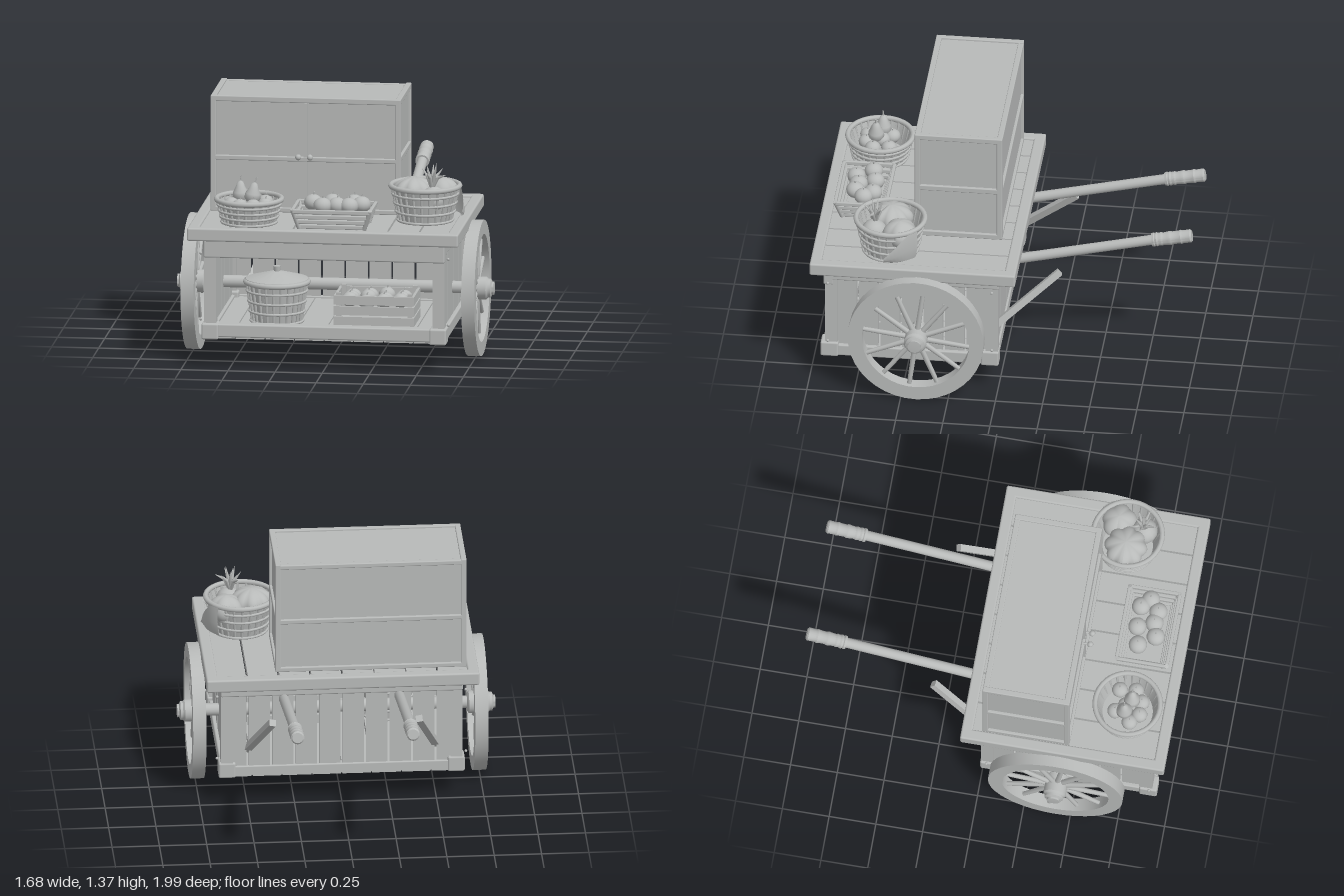
import * as THREE from 'three';
import { toCreasedNormals } from 'three/addons/utils/BufferGeometryUtils.js';
import { RoundedBoxGeometry } from 'three/addons/geometries/RoundedBoxGeometry.js';

const grey = new THREE.MeshStandardMaterial({ color: 0xb8bab9, side: THREE.DoubleSide });
grey.name = 'plain grey';

const V = (x, y, z) => new THREE.Vector3(x, y, z);

function add(parent, name, geo, x = 0, y = 0, z = 0) {
  const m = new THREE.Mesh(geo, grey);
  m.name = name;
  m.position.set(x, y, z);
  parent.add(m);
  return m;
}
function group(parent, name, x = 0, y = 0, z = 0) {
  const g = new THREE.Group();
  g.name = name;
  g.position.set(x, y, z);
  parent.add(g);
  return g;
}
// box given by its limits, with an optional rounded edge
function box(parent, name, x0, x1, y0, y1, z0, z1, r = 0) {
  const s = [x1 - x0, y1 - y0, z1 - z0];
  const geo = r ? new RoundedBoxGeometry(...s, 2, r) : new THREE.BoxGeometry(...s);
  return add(parent, name, geo, (x0 + x1) / 2, (y0 + y1) / 2, (z0 + z1) / 2);
}
function lathe(points, seg = 24) {
  return toCreasedNormals(new THREE.LatheGeometry(points.map(p => new THREE.Vector2(...p)), seg), 0.6);
}
// place a part built along y so that it runs from a to b
function along(mesh, a, b) {
  mesh.position.copy(a).lerp(b, 0.5);
  mesh.quaternion.setFromUnitVectors(V(0, 1, 0), b.clone().sub(a).normalize());
  return mesh;
}
function rod(parent, name, a, b, r0, r1 = r0, seg = 10) {
  return along(add(parent, name, new THREE.CylinderGeometry(r1, r0, a.distanceTo(b), seg)), a, b);
}

// round woven basket standing at local y = 0
function basket(parent, name, x, y, z, rBottom, rTop, h) {
  const g = group(parent, name, x, y, z);
  add(g, 'basketWall', lathe([[0, 0.008], [rBottom - 0.012, 0.008], [rTop - 0.02, h - 0.01]], 32));
  const at = t => rBottom + (rTop - 0.012 - rBottom) * t;
  for (let i = 0; i < 24; i++) {
    const a = i / 24 * Math.PI * 2, c = Math.cos(a), s = Math.sin(a);
    rod(g, 'basketStake', V(c * (rBottom - 0.007), 0, s * (rBottom - 0.007)), V(c * (rTop - 0.017), h, s * (rTop - 0.017)), 0.007, 0.008, 5);
  }
  for (const t of [0.04, 0.28, 0.52, 0.76, 0.97]) {
    const thick = t > 0.9 ? 0.014 : 0.007;
    add(g, 'basketHoop', new THREE.TorusGeometry(at(t), thick, 8, 36), 0, h * t, 0).rotation.x = Math.PI / 2;
  }
  return g;
}
function fruit(parent, x, y, z, r) {
  const geo = new THREE.SphereGeometry(r, 16, 12);
  geo.scale(1, 0.88, 1);
  add(parent, 'fruit', geo, x, y, z);
  rod(parent, 'fruitStem', V(x, y + r * 0.75, z), V(x + 0.006, y + r * 1.15, z), 0.004, 0.003, 5);
}

function wheel(parent, side) {
  const g = group(parent, 'wheel', side * 0.745, 0.36, 0.42);
  g.rotation.z = -side * Math.PI / 2;
  add(g, 'wheelRim', lathe([[0.285, -0.035], [0.36, -0.035], [0.36, 0.035], [0.285, 0.035], [0.285, -0.035]], 40));
  for (let i = 0; i < 12; i++) {
    const a = i / 12 * Math.PI * 2 + 0.13;
    rod(g, 'spoke', V(Math.cos(a) * 0.03, 0, Math.sin(a) * 0.03), V(Math.cos(a) * 0.295, 0, Math.sin(a) * 0.295), 0.015, 0.012, 8);
  }
  add(g, 'hub', lathe([[0, -0.055], [0.045, -0.055], [0.06, -0.045], [0.06, 0.055], [0.05, 0.065],
    [0.05, 0.078], [0.035, 0.085], [0.035, 0.095], [0, 0.097]], 24));
}

function cabinet(parent) {
  const g = group(parent, 'cabinet');
  const x0 = -0.66, x1 = 0.35, y0 = 0.75, y1 = 1.37, z0 = 0.01, z1 = 0.475, t = 0.03;
  box(g, 'cabinetPanels', x0 + 0.014, x1 - 0.014, y0, y1 - 0.01, z0 + 0.014, z1 - 0.014);
  for (const x of [x0, x1 - t]) {
    for (const z of [z0, z1 - t]) box(g, 'cabinetPost', x, x + t, y0, y1, z, z + t, 0.005);
    for (const y of [y0, 1.03, y1 - t]) box(g, 'cabinetSideRail', x, x + t, y, y + t, z0 + t / 2, z1 - t / 2, 0.005);
  }
  for (const z of [z0, z1 - t])
    for (const y of [y0, 1.025, y1 - t]) box(g, 'cabinetRail', x0 + t / 2, x1 - t / 2, y, y + t - 0.005, z, z + t, 0.005);
  box(g, 'cabinetTopEdge', x0, x1, y1 - 0.025, y1, z1 - t, z1, 0.005);
  box(g, 'doorDivider', -0.165, -0.147, y0, y1 - t, z1 - t, z1 - 0.002);
  for (const x of [-0.19, -0.128]) {
    rod(g, 'knobStem', V(x, 1.055, 0.45), V(x, 1.055, 0.5), 0.006);
    add(g, 'doorKnob', new THREE.SphereGeometry(0.016, 14, 10), x, 1.055, 0.505);
  }
}

function body(parent) {
  const g = group(parent, 'cartBody');
  // tabletop: rim and planks
  for (const z of [-0.1, 0.93]) box(g, 'tableRim', -0.72, 0.72, 0.69, 0.76, z, z + 0.06, 0.01);
  for (const x of [-0.72, 0.66]) box(g, 'tableRim', x, x + 0.06, 0.69, 0.76, -0.1, 0.99, 0.01);
  for (let i = 0; i < 8; i++) {
    const w = 1.34 / 8, x = -0.67 + i * w;
    box(g, 'tablePlank', x + 0.005, x + w - 0.005, 0.705, 0.748, -0.05, 0.94);
    const fw = 1.26 / 10;
    box(g, 'floorPlank', -0.63 + i * 1.26 / 8 + 0.003, -0.63 + (i + 1) * 1.26 / 8 - 0.003, 0.157, 0.205, 0.005, 0.92);
  }
  for (let i = 0; i < 10; i++) {
    const w = 1.24 / 10, x = -0.62 + i * w;
    box(g, 'backPlank', x + 0.006, x + w - 0.006, 0.17, 0.7, 0.015, 0.04);
  }
  // base and upper beams
  for (const [y0, y1, z0, z1] of [[0.165, 0.235, 0.86, 0.93], [0.59, 0.69, 0.87, 0.925], [0.62, 0.69, -0.005, 0.05]])
    box(g, 'crossBeam', -0.64, 0.64, y0, y1, z0, z1, 0.008);
  box(g, 'backSill', -0.64, 0.64, 0.16, 0.215, 0.005, 0.05, 0.006);
  for (const s of [-1, 1]) {
    const side = (name, xa, xb, ...r) => box(g, name, Math.min(s * xa, s * xb), Math.max(s * xa, s * xb), ...r);
    side('sideSill', 0.58, 0.64, 0.155, 0.22, 0, 0.92, 0.008);
    side('sideBeam', 0.58, 0.64, 0.62, 0.69, 0, 0.92, 0.008);
    for (const z of [0, 0.85]) {
      side('cornerPost', 0.575, 0.638, 0.16, 0.7, z, z + 0.065);
      side('cornerBlock', 0.56, 0.65, 0.152, 0.238, z - 0.005, z + 0.09, 0.01);
    }
    for (let i = 0; i < 7; i++) {
      const z = 0.06 + i * 0.114;
      side('sidePlank', 0.595, 0.62, 0.18, 0.68, z + 0.006, z + 0.108);
    }
    for (const y of [0.255, 0.61])
      for (const z of [0.03, 0.9]) add(g, 'nail', new THREE.SphereGeometry(0.008, 8, 6), s * 0.657, y, z);
    // prop leg behind the cart
    const a = V(s * 0.5, 0.295, 0.05), b = V(s * 0.387, 0.6, -0.3);
    along(add(g, 'propLeg', new THREE.BoxGeometry(0.036, a.distanceTo(b), 0.036)), a, b);
    // pull handle with a ringed grip
    const h = V(s * 0.305, 0.585, 0.06), e = V(s * 0.305, 0.782, -0.78), tip = V(s * 0.305, 0.822, -0.99);
    rod(g, 'pullHandle', h, e, 0.027, 0.027, 16);
    along(add(g, 'handleGrip', lathe([[0, -0.107], [0.036, -0.107], [0.038, -0.095], [0.034, -0.09], [0.038, -0.08], [0.034, -0.07], [0.037, -0.055],
      [0.033, -0.045], [0.036, -0.02], [0.038, -0.005], [0.034, 0.005], [0.035, 0.04], [0.038, 0.05], [0.034, 0.06], [0.036, 0.1], [0.028, 0.108], [0, 0.108]], 18)), e, tip);
  }
  rod(g, 'axle', V(-0.72, 0.362, 0.42), V(0.72, 0.362, 0.42), 0.033, 0.033, 16);
}

// basket with pears and round fruit
function pearBasket(parent) {
  const g = basket(parent, 'pearBasket', -0.42, 0.75, 0.745, 0.145, 0.185, 0.13);
  for (const [x, z] of [[-0.04, -0.06], [0.08, -0.055], [-0.09, 0.025], [-0.04, 0.07], [0.03, 0.07], [0.09, 0.03], [0, -0.01]]) fruit(g, x, 0.1, z, 0.042);
  const pear = [[0, 0], [0.025, 0.004], [0.043, 0.03], [0.04, 0.055], [0.024, 0.085], [0.016, 0.108], [0, 0.117]];
  for (const [x, z, tilt] of [[-0.045, -0.01, 0.03], [0.015, 0.02, -0.15]]) {
    const p = group(g, 'pear', x, 0.105, z);
    p.rotation.z = tilt;
    add(p, 'pearFlesh', new THREE.LatheGeometry(pear.map(q => new THREE.Vector2(...q)), 18));
    rod(p, 'pearStem', V(0, 0.11, 0), V(0.008, 0.145, 0), 0.004, 0.003, 5);
  }
}

// flared rectangular tray of fruit
function fruitTray(parent) {
  const g = group(parent, 'fruitTray', 0.035, 0.75, 0.775);
  const ring = (name, y, hx, hz, t) => {
    for (const s of [-1, 1]) {
      box(g, name, -hx, hx, y, y + t, s * hz - 0.009, s * hz + 0.009, 0.005);
      box(g, name, s * hx - 0.009, s * hx + 0.009, y, y + t, -hz, hz, 0.005);
    }
  };
  for (const [y, k] of [[0, 0], [0.028, 0.011], [0.056, 0.022], [0.086, 0.034]]) ring('traySlat', y, 0.172 + k, 0.1 + k, 0.023);
  box(g, 'trayFloor', -0.17, 0.17, 0, 0.015, -0.1, 0.1);
  for (const sx of [-1, 1]) for (const sz of [-1, 1])
    rod(g, 'trayCorner', V(sx * 0.172, 0, sz * 0.1), V(sx * 0.206, 0.108, sz * 0.134), 0.012);
  for (const [x, z] of [[-0.115, -0.035], [-0.015, -0.055], [0.1, -0.055], [-0.055, 0.05], [0.02, 0.03], [0.085, 0.04], [0.145, -0.01]]) fruit(g, x, 0.115, z, 0.049);
}

// tall basket with a pumpkin, a cabbage and a leafy crown
function vegetableBasket(parent) {
  const g = basket(parent, 'vegetableBasket', 0.495, 0.75, 0.585, 0.145, 0.195, 0.195);
  const lobed = (name, x, y, z, r, n, squash) => {
    const geo = new THREE.SphereGeometry(r, 48, 16), p = geo.attributes.position;
    for (let i = 0; i < p.count; i++) {
      const k = 0.86 + 0.14 * Math.abs(Math.cos(Math.atan2(p.getZ(i), p.getX(i)) * n / 2));
      p.setXYZ(i, p.getX(i) * k, p.getY(i) * squash, p.getZ(i) * k);
    }
    geo.computeVertexNormals();
    add(g, name, geo, x, y, z);
  };
  lobed('pumpkin', -0.06, 0.16, 0, 0.115, 8, 0.62);
  lobed('cabbage', 0.08, 0.145, -0.06, 0.095, 5, 0.8);
  add(g, 'pineapple', new THREE.SphereGeometry(0.07, 14, 10), 0.055, 0.13, 0.08);
  for (let i = 0; i < 9; i++) {
    const a = i * 2.4, r = 0.025 + 0.0075 * i, c = V(0.045, 0.18, 0.075);
    const mid = c.clone().add(V(Math.cos(a) * r * 0.4, 0.07, Math.sin(a) * r * 0.4));
    rod(g, 'crownLeaf', c, mid, 0.008, 0.01, 5);
    rod(g, 'crownLeaf', mid, c.clone().add(V(Math.cos(a) * r, 0.145 - 0.007 * i, Math.sin(a) * r)), 0.01, 0.001, 5);
  }
  // leaf draped over the outside
  const leaf = new THREE.LatheGeometry([[0.19, 0.03], [0.207, 0.1], [0.2, 0.19]].map(p => new THREE.Vector2(...p)), 10, 1.5, 0.95);
  const p = leaf.attributes.position;
  for (let i = 0; i < p.count; i++) {
    const t = THREE.MathUtils.clamp(0.25 - p.getZ(i) / 0.15, 0.1, 1);
    p.setY(i, 0.03 + (p.getY(i) - 0.03) * t);
  }
  leaf.computeVertexNormals();
  add(g, 'drapedLeaf', leaf);
}

// lidded basket and slatted crate on the lower shelf
function shelfGoods(parent) {
  const b = basket(parent, 'liddedBasket', -0.28, 0.205, 0.68, 0.137, 0.178, 0.225);
  add(b, 'basketLid', lathe([[0.17, 0.222], [0.165, 0.235], [0.03, 0.272], [0, 0.275]], 28));
  add(b, 'lidKnob', new THREE.CylinderGeometry(0.02, 0.016, 0.034, 12), 0, 0.283, 0);
  const g = group(parent, 'slattedCrate', 0.248, 0.205, 0.66);
  for (const y of [0.012, 0.068, 0.124]) {
    for (const s of [-1, 1]) {
      box(g, 'crateSlat', -0.213, 0.213, y, y + 0.047, s * 0.127 - 0.007, s * 0.127 + 0.007);
      box(g, 'crateSlat', s * 0.206 - 0.007, s * 0.206 + 0.007, y, y + 0.047, -0.125, 0.125);
    }
  }
  for (const sx of [-1, 1]) for (const sz of [-1, 1])
    box(g, 'cratePost', sx * 0.189 - 0.012, sx * 0.189 + 0.012, 0, 0.185, sz * 0.11 - 0.011, sz * 0.11 + 0.011);
  box(g, 'crateFloor', -0.2, 0.2, 0.005, 0.02, -0.12, 0.12);
  for (let i = 0; i < 12; i++) fruit(g, -0.135 + (i % 4) * 0.09, 0.13 + (i % 3) * 0.006, -0.075 + Math.floor(i / 4) * 0.075, 0.044);
}

export function createModel() {
  const cart = new THREE.Group();
  cart.name = 'marketCart';
  body(cart);
  for (const s of [-1, 1]) wheel(cart, s);
  cabinet(cart);
  pearBasket(cart);
  fruitTray(cart);
  vegetableBasket(cart);
  shelfGoods(cart);
  return cart;
}
